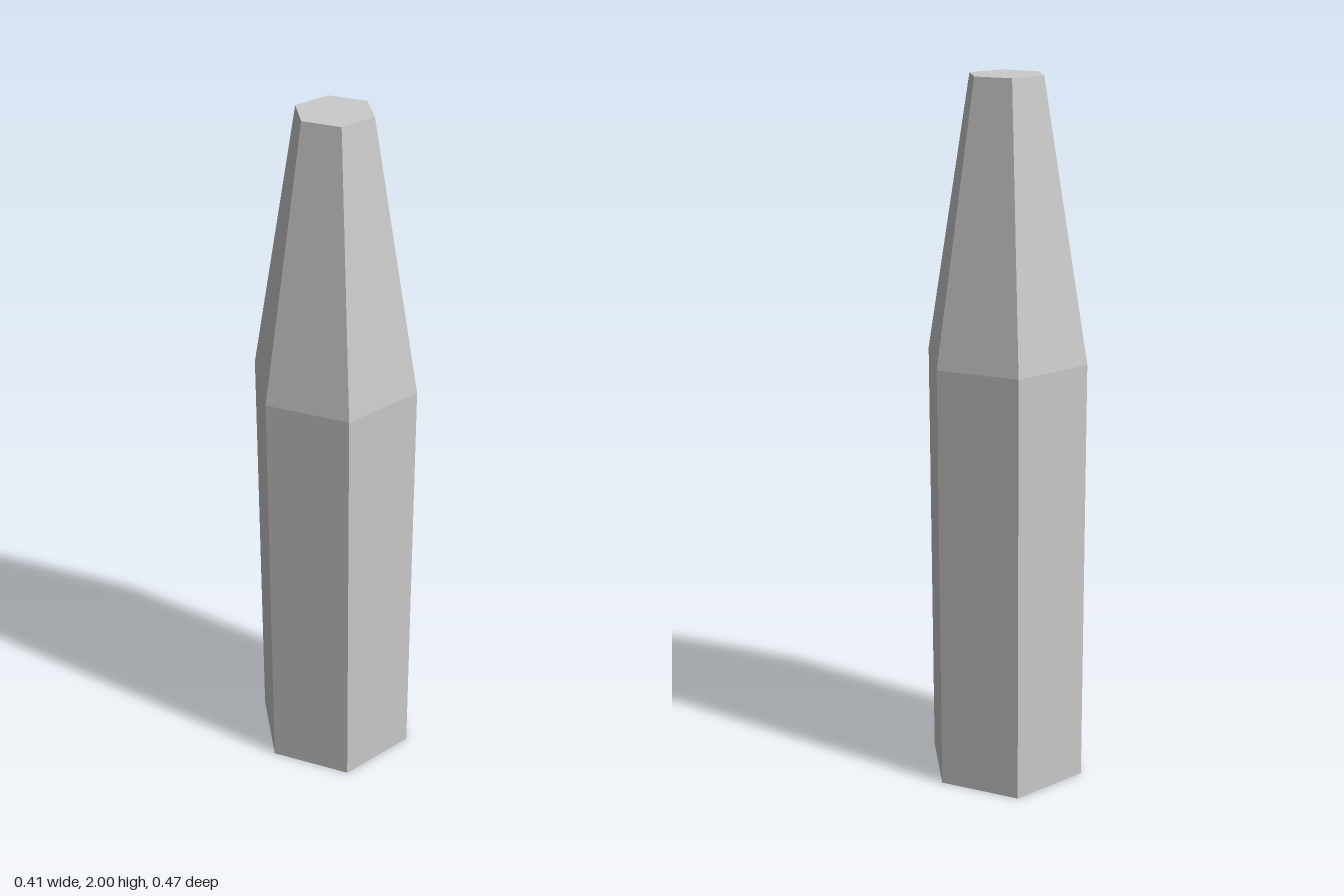
import * as THREE from 'three';

const SIDES = 6;
const BODY_RADIUS = 0.235;
const TIP_RADIUS = 0.105;
const SHOULDER_Y = 1.24;
const HEIGHT = 2;

export function createModel() {
  const group = new THREE.Group();
  group.name = 'hexagonalPost';
  const material = new THREE.MeshStandardMaterial({ color: 0xcccccc, flatShading: true });

  // Closed hexagonal solid: flat base, straight shaft, tapered upper part, flat tip
  const profile = [
    [0, 0],
    [BODY_RADIUS, 0],
    [BODY_RADIUS, SHOULDER_Y],
    [TIP_RADIUS, HEIGHT],
    [0, HEIGHT],
  ].map(([r, y]) => new THREE.Vector2(r, y));

  const post = new THREE.Mesh(new THREE.LatheGeometry(profile, SIDES), material);
  post.name = 'taperedShaft';
  group.add(post);

  return group;
}
